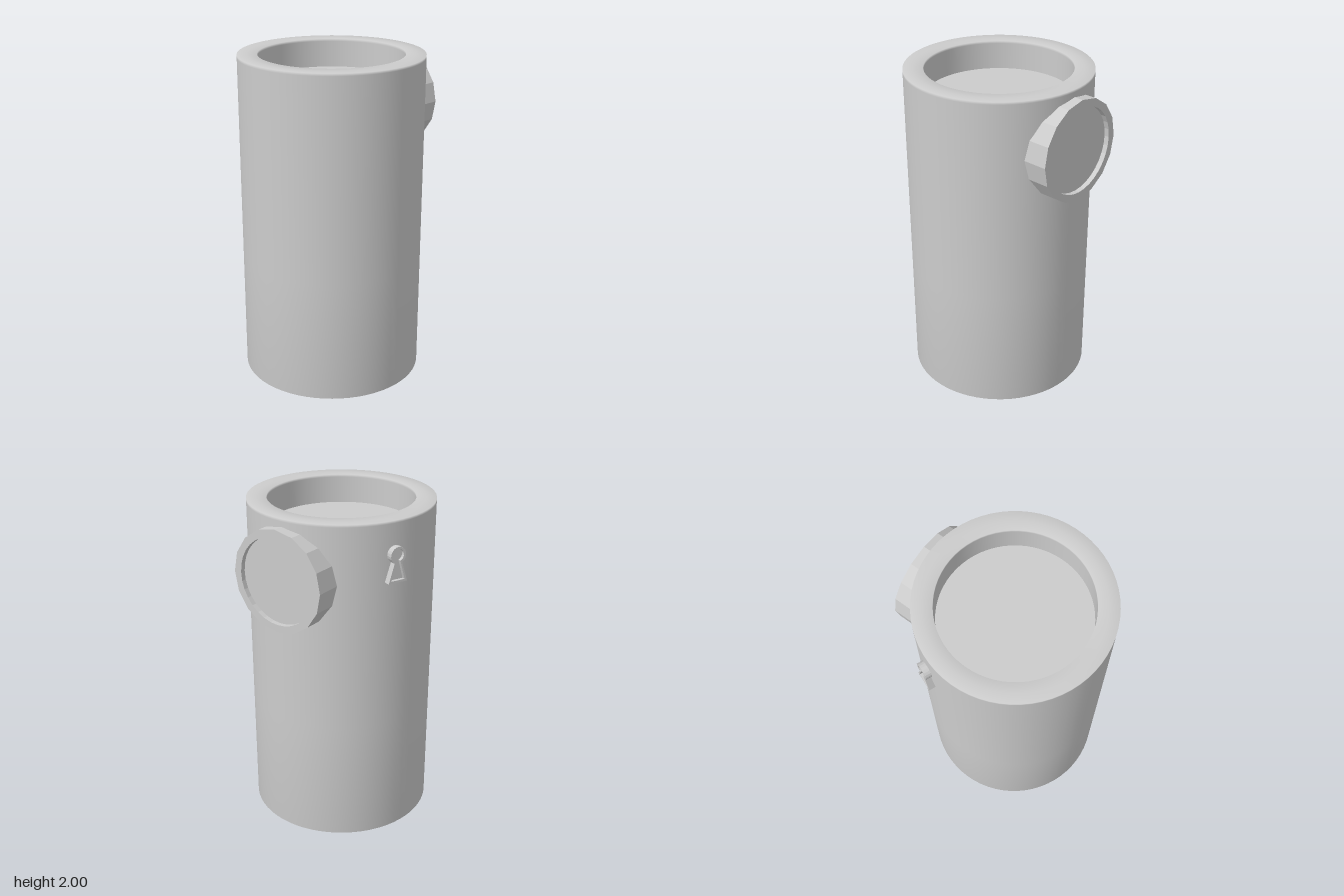
import * as THREE from 'three';

// Points of an arc in the XY plane
function arc(cx, cy, r, from, to, n) {
  return Array.from({ length: n + 1 }, (_, i) => {
    const a = from + ((to - from) * i) / n;
    return new THREE.Vector2(cx + r * Math.cos(a), cy + r * Math.sin(a));
  });
}

// Keyhole outline: round head on a flared skirt
function keyhole(r, neck, base, bottom) {
  const a = Math.asin(neck / r);
  return [
    new THREE.Vector2(-base, bottom),
    new THREE.Vector2(base, bottom),
    ...arc(0, 1.81, r, -Math.PI / 2 + a, Math.PI * 1.5 - a, 16),
  ];
}

// Extruded frame: outline with an optional hole, from z0 to z1
function slab(outline, hole, z0, z1) {
  const shape = new THREE.Shape(outline);
  if (hole) shape.holes.push(new THREE.Path(hole));
  const geo = new THREE.ExtrudeGeometry(shape, { depth: z1 - z0, bevelEnabled: false });
  return geo.translate(0, 0, z0);
}

export function createModel() {
  const model = new THREE.Group();
  const grey = new THREE.MeshStandardMaterial({ color: 0xcccccc });
  grey.name = 'plain grey';
  const CX = -0.03, CZ = 0.005, R = 0.555, RI = 0.436;

  function add(parent, name, geo) {
    const mesh = new THREE.Mesh(geo, grey);
    mesh.name = name;
    parent.add(mesh);
    return mesh;
  }

  // Thick open tube with softly shaded rims
  const mid = (R + RI) / 2;
  const profile = [
    [mid, 0], [R, 0], [R, 0.75], [R, 1.985], [R, 2], [mid, 2],
    [RI, 2], [RI, 1.985], [RI, 0.75], [RI, 0], [mid, 0],
  ].map(([x, y]) => new THREE.Vector2(x, y));
  add(model, 'tubeBody', new THREE.LatheGeometry(profile, 64)).position.set(CX, 0, CZ);

  // Thin floor inside the upper opening
  const floor = new THREE.CylinderGeometry(RI, RI, 0.008, 64);
  add(model, 'innerFloor', floor).position.set(CX, 1.82, CZ);

  // Faceted side port facing +x with a recessed face
  const port = new THREE.Group();
  port.name = 'sidePort';
  port.position.set(0, 1.65, 0);
  port.rotation.y = Math.PI / 2;
  const ring = (r, n) => arc(0, 0, r, 0, Math.PI * 2, n).slice(0, n);
  add(port, 'portRim', slab(ring(0.305, 16), ring(0.258, 32), 0.42, 0.583));
  add(port, 'portFace', slab(ring(0.259, 32), null, 0.44, 0.553));
  model.add(port);

  // Raised keyhole plate on the back
  const lock = new THREE.Group();
  lock.name = 'keyholePlate';
  lock.position.set(CX, 0, CZ);
  lock.rotation.y = Math.atan2(0.37, -0.93);
  const inner = keyhole(0.036, 0.013, 0.044, 1.665);
  add(lock, 'keyholeFrame', slab(keyhole(0.05, 0.025, 0.061, 1.652), inner, 0.53, 0.59));
  add(lock, 'keyholeRecess', slab(inner, null, 0.53, 0.57));
  model.add(lock);

  return model;
}
